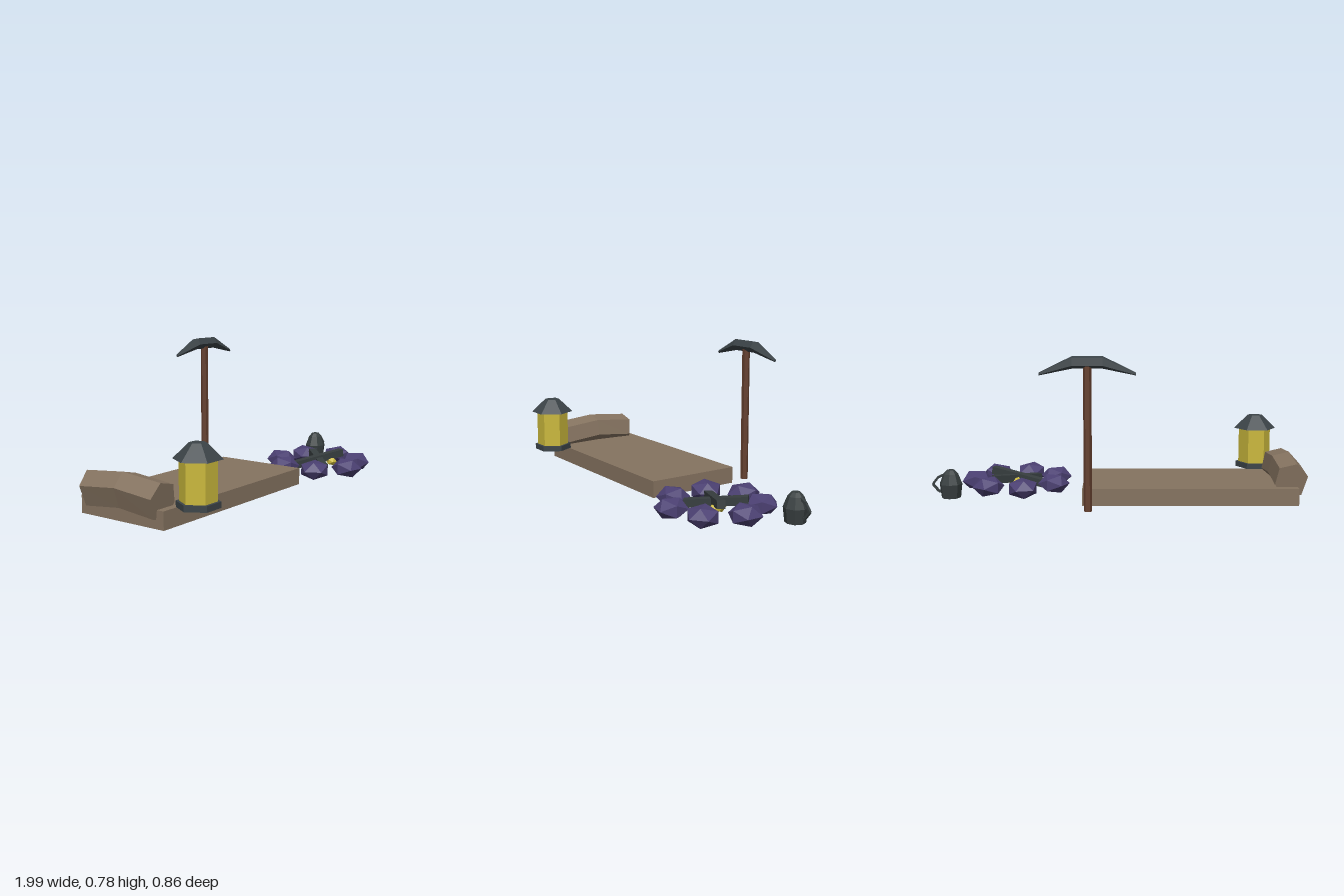
import * as THREE from 'three';

const mat = (name, color) => {
  const m = new THREE.MeshStandardMaterial({ color, flatShading: true });
  m.name = name;
  return m;
};

// Skins equal rings of points (counterclockwise seen from the last ring) and caps both ends
function loft(rings) {
  const n = rings[0].length, idx = [];
  for (let s = 0; s < rings.length - 1; s++) {
    for (let i = 0; i < n; i++) {
      const j = (i + 1) % n, a = s * n, b = a + n;
      idx.push(a + i, a + j, b + j, a + i, b + j, b + i);
    }
  }
  const last = (rings.length - 1) * n;
  for (let i = 1; i < n - 1; i++) {
    idx.push(0, i + 1, i, last, last + i, last + i + 1);
  }
  const g = new THREE.BufferGeometry();
  g.setAttribute('position', new THREE.Float32BufferAttribute(rings.flat(2), 3));
  g.setIndex(idx);
  const flat = g.toNonIndexed();
  flat.computeVertexNormals();
  return flat;
}

export function createModel() {
  const root = new THREE.Group();
  const cloth = mat('tan cloth', 0x857360);
  const gold = mat('yellow glow', 0xcab83c);
  const iron = mat('dark iron', 0x3c4448);
  const char = mat('charcoal', 0x373e3f);
  const stone = mat('purple stone', 0x4b4072);
  const wood = mat('brown wood', 0x643f2e);

  const add = (name, geo, material, x = 0, y = 0, z = 0, parent = root) => {
    const m = new THREE.Mesh(geo, material);
    m.name = name;
    m.position.set(x, y, z);
    parent.add(m);
    return m;
  };
  const group = (name) => {
    const g = new THREE.Group();
    g.name = name;
    root.add(g);
    return g;
  };
  // Square bar between two points
  const bar = (name, a, b, w, material, parent) => {
    const p = new THREE.Vector3(...a), q = new THREE.Vector3(...b);
    const mid = p.clone().add(q).multiplyScalar(0.5);
    const m = add(name, new THREE.BoxGeometry(w, w, p.distanceTo(q)), material, mid.x, mid.y, mid.z, parent);
    m.lookAt(q);
    return m;
  };

  // Bed
  add('mattress', new THREE.BoxGeometry(1.125, 0.09, 0.525), cloth, -0.388, 0.045, -0.025);
  const section = [[-0.97, 0.07], [-0.885, 0.055], [-0.83, 0.125], [-0.85, 0.215], [-0.94, 0.237], [-1, 0.17]];
  const pillowRing = (z, lower, slant) =>
    section.map(([x, y]) => [x, y - lower, z + slant * (y - 0.215)]);
  add('pillow', loft([
    pillowRing(-0.255, 0.022, -0.12), pillowRing(-0.022, 0, 0), pillowRing(0.21, 0.022, 0.12),
  ]), cloth);

  // Lantern
  const lantern = group('lantern');
  lantern.position.set(-0.802, 0.09, 0.318);
  lantern.rotation.y = Math.PI / 6;
  const hex = (name, rTop, rBottom, y0, y1, material) =>
    add(name, new THREE.CylinderGeometry(rTop, rBottom, y1 - y0, 6), material, 0, (y0 + y1) / 2, 0, lantern);
  hex('lanternBase', 0.105, 0.105, 0, 0.03, iron);
  hex('lanternGlass', 0.09, 0.09, 0.03, 0.228, gold);
  hex('lanternRoof', 0.041, 0.119, 0.226, 0.302, iron);

  // Pickaxe standing upright
  const pick = group('pickaxe');
  const shaft = add('pickaxeHandle', new THREE.CylinderGeometry(0.021, 0.021, 0.74, 6), wood, 0.14, 0.37, -0.4, pick);
  shaft.rotation.y = Math.PI / 6;
  const headRing = (x, y, r) => Array.from({ length: 5 }, (_, i) => {
    const a = THREE.MathUtils.degToRad(65 - 72 * i);
    return [x, y + r * Math.sin(a), -0.4 + r * Math.cos(a)];
  });
  add('pickaxeHead', loft([
    headRing(-0.1, 0.697, 0.008), headRing(0.065, 0.755, 0.033),
    headRing(0.215, 0.755, 0.033), headRing(0.38, 0.697, 0.008),
  ]), iron, 0, 0, 0, pick);

  // Campfire: ring of squashed stones
  const fire = group('campfire');
  const spots = [[0.785, 0.12], [0.69, 0.3], [0.5, 0.35], [0.345, 0.23], [0.345, 0.025], [0.503, -0.1], [0.695, -0.055]];
  spots.forEach(([x, z], i) => {
    const s = add('fireStone', new THREE.IcosahedronGeometry(0.088, 0), stone, x, 0.049, z, fire);
    s.scale.y = 0.65;
    s.rotation.y = -i * Math.PI * 2 / 7;
  });
  // Crossed logs and embers
  bar('log', [0.375, 0.04, 0.04], [0.7, 0.09, 0.2], 0.042, char, fire);
  bar('log', [0.445, 0.042, 0.235], [0.675, 0.075, 0.01], 0.042, char, fire);
  [[0.565, 0.04, 0.115, 0.047], [0.622, 0.045, 0.178, 0.032]].forEach(([x, y, z, r], i) => {
    const e = add('ember', new THREE.IcosahedronGeometry(r, 0), gold, x, y, z, fire);
    e.rotation.y = i + 0.4;
    e.scale.y = 0.8;
  });

  // Kettle
  const kettle = group('kettle');
  const profile = [[0, 0], [0.052, 0], [0.061, 0.075], [0.04, 0.13], [0.022, 0.15], [0, 0.15]]
    .map(([r, y]) => new THREE.Vector2(r, y));
  add('kettleBody', new THREE.LatheGeometry(profile, 8), char, 0.89, 0, -0.1, kettle);
  const grip = [[0.925, 0.125], [0.958, 0.11], [0.988, 0.073], [0.955, 0.033], [0.935, 0.035]];
  for (let i = 0; i < grip.length - 1; i++) {
    bar('kettleHandle', [...grip[i], -0.1], [...grip[i + 1], -0.1], 0.012, char, kettle);
  }

  return root;
}
